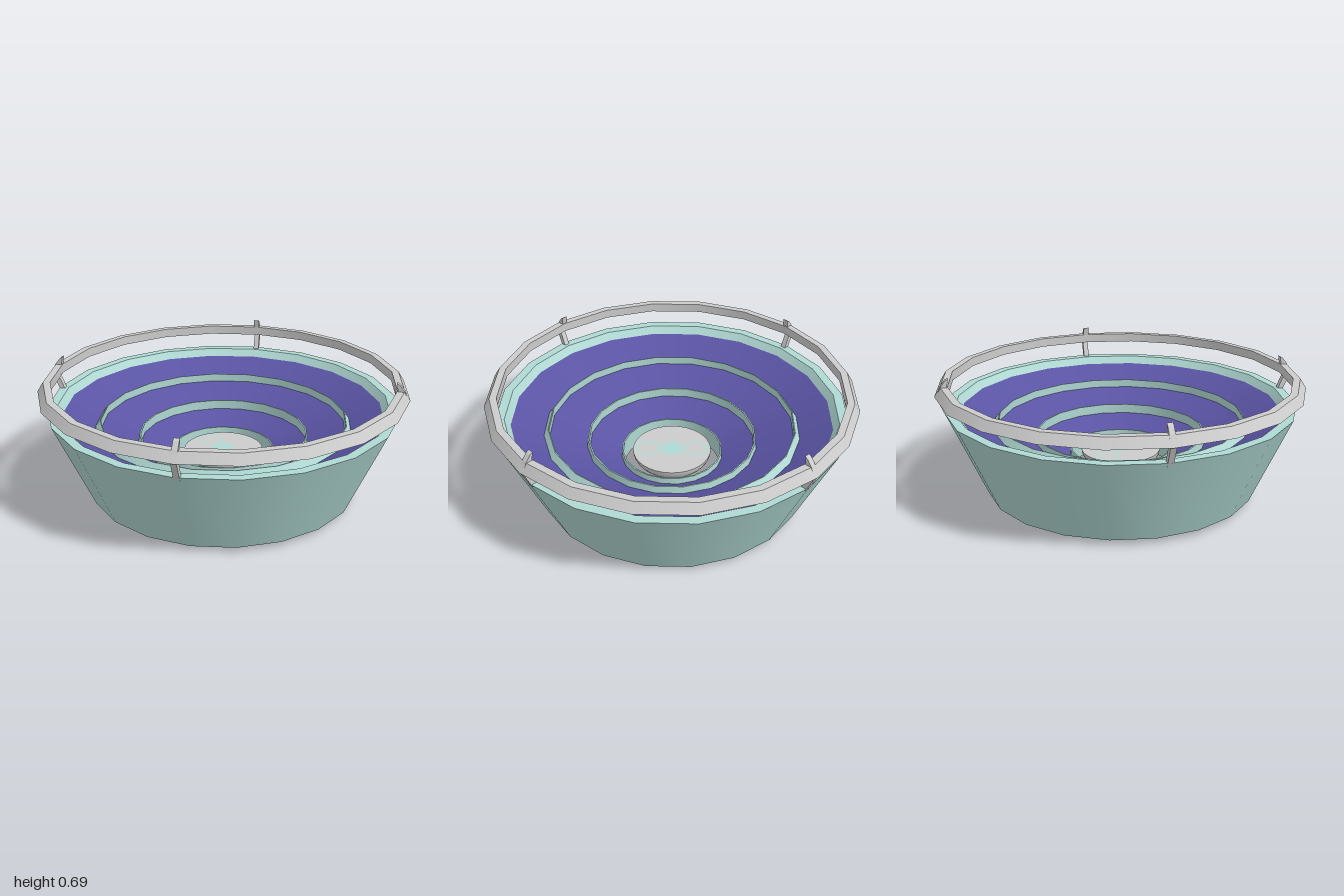
import * as THREE from 'three';

const mat = (name, color) => {
  const m = new THREE.MeshStandardMaterial({ color });
  m.name = name;
  return m;
};

export function createModel() {
  const model = new THREE.Group();
  model.name = 'arenaBowl';
  const teal = mat('paleTeal', 0xb0d8d3);
  const purple = mat('purple', 0x5a54a4);
  const grey = mat('lightGrey', 0xcccccc);

  const add = (parent, name, geometry, material) => {
    const mesh = new THREE.Mesh(geometry, material);
    mesh.name = name;
    parent.add(mesh);
    return mesh;
  };
  // One lathed band per profile segment: smooth around, sharp between bands
  const bands = (parent, name, profile, material) => {
    for (let i = 0; i < profile.length - 1; i++) {
      const pts = [profile[i], profile[i + 1]].map(([r, y]) => new THREE.Vector2(r, y));
      add(parent, name, new THREE.LatheGeometry(pts, 20), material);
    }
  };

  // Bowl shell: underside, outer wall and rim
  const bowl = new THREE.Group();
  bowl.name = 'bowl';
  model.add(bowl);
  bands(bowl, 'shell', [[0.27, 0.12], [0.68, 0], [0.74, 0.03], [0.95, 0.51], [0.9, 0.51], [0.87, 0.47]], teal);

  // Sloping tiers, each ending in a low raised wall
  bands(bowl, 'outerTier', [[0.87, 0.47], [0.7, 0.385]], purple);
  bands(bowl, 'outerTierWall', [[0.7, 0.385], [0.675, 0.42], [0.67, 0.42], [0.67, 0.375]], teal);
  bands(bowl, 'middleTier', [[0.67, 0.375], [0.47, 0.29]], purple);
  bands(bowl, 'middleTierWall', [[0.47, 0.29], [0.465, 0.33], [0.457, 0.33], [0.457, 0.277]], teal);
  bands(bowl, 'innerTier', [[0.457, 0.277], [0.282, 0.2]], purple);
  bands(bowl, 'centreOpening', [[0.282, 0.2], [0.28, 0.235], [0.272, 0.235], [0.27, 0.12]], teal);

  // Raised ring above the rim
  bands(model, 'topRing', [[0.925, 0.6], [0.995, 0.6], [0.963, 0.65], [0.925, 0.65], [0.925, 0.6]], grey);

  // Four bent posts carrying the ring, each ending in a small hook
  const postShape = new THREE.Shape([
    [0.91, 0.49], [0.94, 0.49], [0.988, 0.6], [0.963, 0.652], [0.937, 0.685],
    [0.92, 0.695], [0.93, 0.64], [0.955, 0.6],
  ].map(([x, y]) => new THREE.Vector2(x, y)));
  const postGeometry = new THREE.ExtrudeGeometry(postShape, { depth: 0.03, bevelEnabled: false });
  postGeometry.translate(0, 0, -0.015);
  for (let i = 0; i < 4; i++) {
    add(model, 'ringPost', postGeometry, grey).rotation.y = (i * Math.PI) / 2;
  }

  // Floating central stage: flat top over a rounded underside
  const stage = new THREE.Group();
  stage.name = 'stage';
  stage.position.y = 0.226;
  model.add(stage);
  const dish = [];
  for (let i = 0; i <= 10; i++) {
    const a = (i / 10) * Math.PI / 2;
    dish.push(new THREE.Vector2(0.218 * Math.sin(a), -0.12 * Math.cos(a)));
  }
  add(stage, 'stageUnderside', new THREE.LatheGeometry(dish, 32), grey);
  add(stage, 'stageTop', new THREE.CircleGeometry(0.218, 32).rotateX(-Math.PI / 2), grey);

  // Thin inlays on the stage: centre patch and two rings
  const patch = new THREE.CircleGeometry(0.065, 8).rotateX(-Math.PI / 2);
  add(stage, 'centreInlay', patch, teal).position.y = 0.003;
  for (const s of [-1, 1]) {
    const ring = new THREE.RingGeometry(0.058, 0.072, 8).rotateX(-Math.PI / 2);
    add(stage, 'ringInlay', ring, teal).position.set(s * 0.095, 0.002, s * 0.095);
  }
  return model;
}
